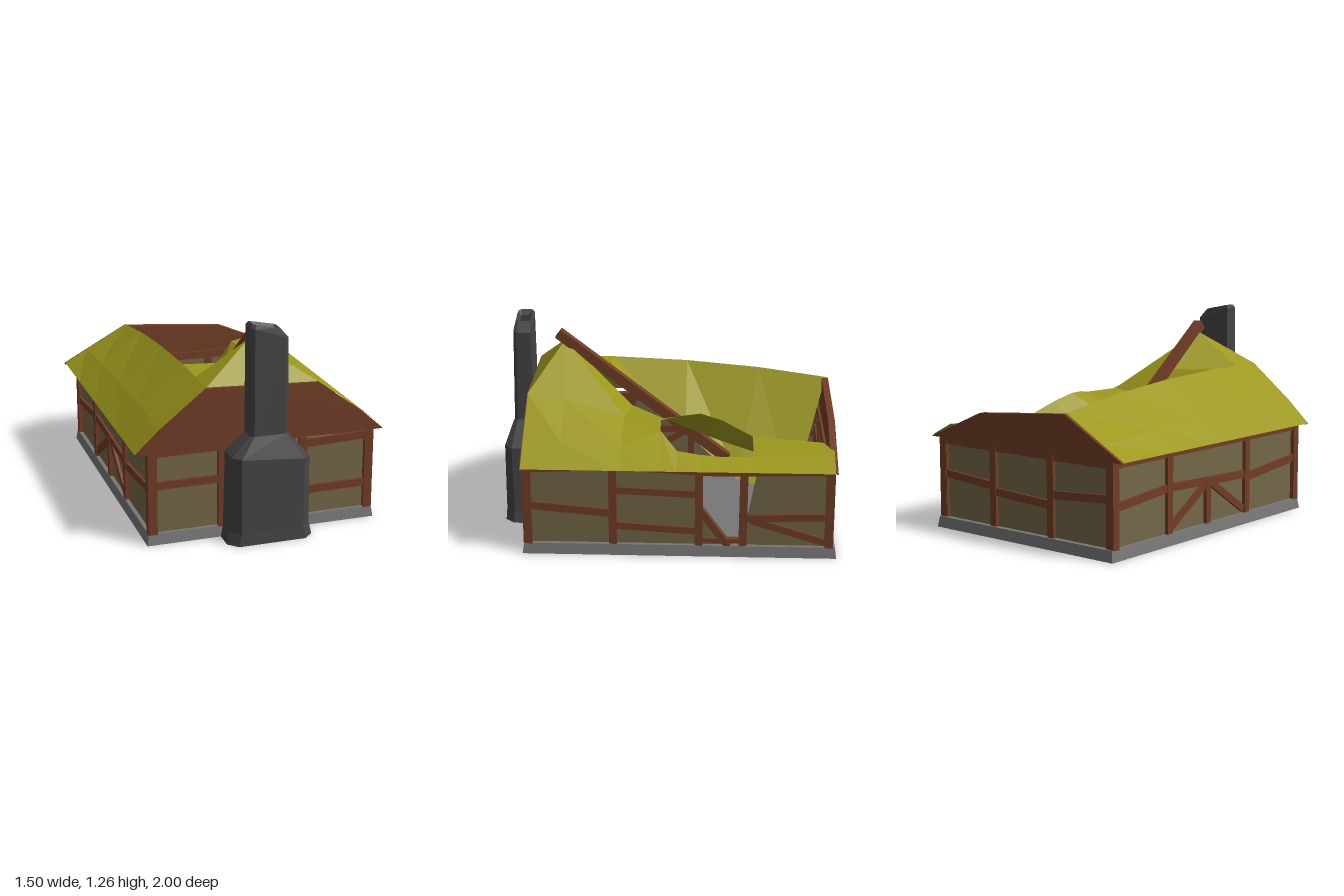
import * as THREE from 'three';

const mat = (color) => new THREE.MeshStandardMaterial({ color, flatShading: true, side: THREE.DoubleSide });
const WOOD = mat(0x713d26), THATCH = mat(0x9c981c), PLASTER = mat(0x746747), STONE = mat(0x777777), SOOT = mat(0x444444);

function add(parent, name, geometry, material) {
  const m = new THREE.Mesh(geometry, material);
  m.name = name;
  parent.add(m);
  return m;
}

// Flat-shaded surface through rows of points; skip(row, col) leaves a hole
function sheet(rows, skip = () => false) {
  const pos = [];
  for (let r = 0; r < rows.length - 1; r++) {
    for (let c = 0; c < rows[r].length - 1; c++) {
      if (skip(r, c)) continue;
      const a = rows[r][c], b = rows[r][c + 1], d = rows[r + 1][c], e = rows[r + 1][c + 1];
      pos.push(...a, ...b, ...e, ...a, ...e, ...d);
    }
  }
  const g = new THREE.BufferGeometry();
  g.setAttribute('position', new THREE.Float32BufferAttribute(pos, 3));
  g.computeVertexNormals();
  return g;
}

// Thin upright slab from an outline
function slab(points, depth) {
  const shape = new THREE.Shape(points.map(([x, y]) => new THREE.Vector2(x, y)));
  return new THREE.ExtrudeGeometry(shape, { depth, bevelEnabled: false });
}

// One timber-framed wall: beams [u0, y0, u1, y1, width], panels as outlines
function wall(name, angle, x, z, beams, panels) {
  const g = new THREE.Group();
  g.name = name;
  g.position.set(x, 0, z);
  g.rotation.y = angle;
  for (const [u0, y0, u1, y1, w] of beams) {
    const upright = Math.abs(y1 - y0) > Math.abs(u1 - u0);
    const depth = upright ? 0.05 : 0.042;
    const m = add(g, upright ? 'post' : 'rail', new THREE.BoxGeometry(Math.hypot(u1 - u0, y1 - y0), w, depth), WOOD);
    m.position.set((u0 + u1) / 2, (y0 + y1) / 2, -depth / 2 - (upright ? 0 : 0.004));
    m.rotation.z = Math.atan2(y1 - y0, u1 - u0);
  }
  for (const p of panels) add(g, 'plasterPanel', slab(p, 0.012), PLASTER).position.z = -0.034;
  return g;
}

const post = (u, lean = 0) => [u, 0.06, u + lean, 0.54, 0.046];
const bay = (u0, u1) => [[u0, 0.06], [u1, 0.06], [u1, 0.53], [u0, 0.53]];

export function createModel() {
  const house = new THREE.Group();
  house.name = 'ruinedCottage';

  // Stone base with slightly tapered sides
  const base = new THREE.BoxGeometry(1.375, 0.065, 1.83);
  const p = base.attributes.position;
  for (let i = 0; i < p.count; i++) {
    if (p.getY(i) > 0) p.setXYZ(i, p.getX(i) * 0.985, p.getY(i), p.getZ(i) * 0.99);
  }
  add(house, 'stoneBase', base, STONE).position.set(0.005, 0.0325, -0.085);

  // Four walls; u runs left to right as seen from outside
  house.add(wall('frontWall', 0, 0, 0.822,
    [post(-0.65), post(-0.24), post(0.25), post(0.66),
      [-0.65, 0.35, -0.24, 0.35, 0.046], [-0.65, 0.545, 0.2, 0.545, 0.05],
      [0.25, 0.215, 0.66, 0.22, 0.046], [0.25, 0.5, 0.66, 0.515, 0.046]],
    [bay(-0.65, -0.24), bay(-0.24, 0.25), bay(0.25, 0.66)]));

  house.add(wall('rightWall', Math.PI / 2, 0.68, 0,
    [post(-0.8), post(-0.3), post(0.2), post(0.455, 0.005), post(0.955),
      [-0.82, 0.525, -0.3, 0.55, 0.046], [-0.3, 0.55, 0.2, 0.525, 0.046], [0.2, 0.52, 0.98, 0.53, 0.046],
      [-0.8, 0.3, -0.3, 0.255, 0.046], [-0.3, 0.4, 0.2, 0.38, 0.04], [-0.3, 0.18, 0.2, 0.15, 0.04],
      [0.2, 0.29, 0.37, 0.06, 0.04], [0.46, 0.235, 0.95, 0.25, 0.042], [0.5, 0.225, 0.95, 0.085, 0.042],
      [0.22, 0.095, 0.44, 0.09, 0.025]],
    [bay(-0.8, -0.3), bay(-0.3, 0.2), [[0.46, 0.06], [0.95, 0.06], [0.95, 0.52], [0.53, 0.5], [0.49, 0.28]],
      [[0.2, 0.06], [0.36, 0.06], [0.2, 0.28]]]));

  house.add(wall('backWall', Math.PI, 0, -0.98,
    [post(-0.66), post(-0.24), post(0.21), post(0.65),
      [-0.68, 0.53, 0.67, 0.53, 0.05], [-0.66, 0.33, -0.24, 0.3, 0.046],
      [-0.24, 0.27, 0.21, 0.25, 0.046], [0.21, 0.31, 0.65, 0.34, 0.046]],
    [bay(-0.66, -0.24), bay(-0.24, 0.21), bay(0.21, 0.65)]));

  house.add(wall('leftWall', -Math.PI / 2, -0.67, 0,
    [post(-0.955), post(-0.48), post(0.27), post(0.8),
      [-0.98, 0.53, 0.82, 0.53, 0.05], [-0.95, 0.29, -0.48, 0.33, 0.046], [-0.48, 0.33, 0.27, 0.3, 0.046],
      [-0.48, 0.09, -0.12, 0.31, 0.042], [-0.12, 0.06, -0.12, 0.31, 0.042], [-0.1, 0.31, 0.24, 0.09, 0.042],
      [0.27, 0.28, 0.8, 0.33, 0.046]],
    [bay(-0.95, -0.48), bay(-0.48, 0.27), bay(0.27, 0.8)]));

  // Boarded gables
  const gable = (l, r) => [[-0.74, 0.545], [0.74, 0.545], [0.6, 0.67], [0.33, r], [-0.33, l], [-0.6, 0.68]];
  add(house, 'frontGable', slab(gable(0.895, 0.865), 0.025), WOOD).position.z = 0.8;
  const backOutline = [[-0.75, 0.545], [0.74, 0.545], [0.33, 0.72], [-0.33, 0.775]];
  add(house, 'backGable', slab(backOutline, 0.04), WOOD).position.z = -0.99;

  // Left roof half, its ridge fallen inward down to the floor
  const left = [
    // z, eave y, middle y, crest y, fallen ridge point
    [0.82, 0.55, 0.685, 0.9, [-0.33, 0.9, 0.82]],
    [0.62, 0.55, 0.685, 0.9, [-0.02, 1.1, 0.63]],
    [0.37, 0.55, 0.685, 0.9, [-0.03, 0.88, 0.36]],
    [-0.1, 0.55, 0.675, 0.88, [-0.04, 0.5, -0.1]],
    [-0.55, 0.55, 0.66, 0.84, [-0.04, 0.19, -0.43]],
    [-0.975, 0.55, 0.63, 0.78, [-0.04, 0.07, -0.77]],
  ].map(([z, e, m, c, ridge]) => [[-0.745, e, z], [-0.6, m, z], [-0.33, c, z], ridge]);
  add(house, 'leftRoof', sheet(left), THATCH);

  // Right roof half, sagging, with a hole broken through it
  const right = [
    // z, fallen edge [x, y, z], crest [x, y], lower crease [x, y]
    [0.82, [0.33, 0.87, 0.82], [0.33, 0.87], [0.6, 0.67]],
    [0.6, [-0.02, 1.1, 0.63], [0.33, 0.83], [0.6, 0.67]],
    [0.25, [0.09, 0.72, 0.22], [0.36, 0.74], [0.6, 0.64]],
    [0.03, [0.1, 0.64, 0.03], [0.4, 0.735], [0.48, 0.7]],
    [-0.07, [0.1, 0.6, -0.07], [0.37, 0.75], [0.6, 0.62]],
    [-0.2, [0.11, 0.55, -0.2], [0.33, 0.755], [0.615, 0.605]],
    [-0.33, [0.135, 0.51, -0.33], [0.35, 0.72], [0.62, 0.595]],
    [-0.51, [0.165, 0.46, -0.51], [0.4, 0.64], [0.6, 0.59]],
    [-0.92, [0.22, 0.4, -0.86], [0.4, 0.61], [0.59, 0.63]],
  ].map(([z, edge, c, m], i, all) => {
    const last = i === all.length - 1;
    return [edge, [c[0], c[1], z], [m[0], m[1], last ? -0.975 : z], [0.748, 0.55, last ? -0.975 : z]];
  });
  add(house, 'rightRoof', sheet(right, (r, c) => c === 1 && r >= 3 && r <= 6), THATCH);

  // Standing front hip and the fallen back hip
  add(house, 'frontHip', sheet([[[-0.33, 0.9, 0.82], [0.33, 0.87, 0.82]], [[-0.02, 1.1, 0.63], [-0.02, 1.1, 0.63]]]), THATCH);
  add(house, 'fallenHip', sheet([[[-0.04, 0.075, -0.76], [0.04, 0.075, -0.76]], [[-0.33, 0.13, -0.94], [0.33, 0.13, -0.94]]]), THATCH);

  // Ridge beam slumped from the front hip into the house
  const a = new THREE.Vector3(0, 1.145, 0.67), b = new THREE.Vector3(-0.005, 0.35, -0.36);
  const beam = add(house, 'fallenRidgeBeam', new THREE.BoxGeometry(0.06, 0.06, a.distanceTo(b)), WOOD);
  beam.position.copy(a).add(b).multiplyScalar(0.5);
  beam.lookAt(a);

  // Chimney: cross-sections with cut front corners, crooked top and a sunken flue
  const section = (y, x0, x1, zb, zf, cut, skew = 0) => {
    const pts = [[x0, zb], [x0, zf - cut], [x0 + cut, zf], [x1 - cut, zf], [x1, zf - cut], [x1, zb], [x0, zb]];
    return pts.map(([x, z]) => [x, y - skew * x, z]);
  };
  const chimney = [
    section(0, 0, 0, 0.9, 0.9, 0),
    section(0, -0.25, 0.258, 0.8, 1, 0.055),
    section(0.07, -0.235, 0.242, 0.8, 0.995, 0.055),
    section(0.5, -0.225, 0.235, 0.8, 0.992, 0.045, 0.08),
    section(0.625, -0.11, 0.115, 0.82, 0.94, 0.02),
    section(1.21, -0.108, 0.112, 0.825, 0.93, 0.02, 0.32),
    section(1.245, -0.095, 0.06, 0.835, 0.92, 0.015, 0.2),
    section(1.225, -0.06, 0.04, 0.855, 0.905, 0.005, 0.2),
    section(1.15, -0.06, 0.04, 0.855, 0.905, 0.005),
    section(1.15, 0, 0, 0.88, 0.88, 0),
  ];
  add(house, 'chimney', sheet(chimney), SOOT);

  return house;
}
